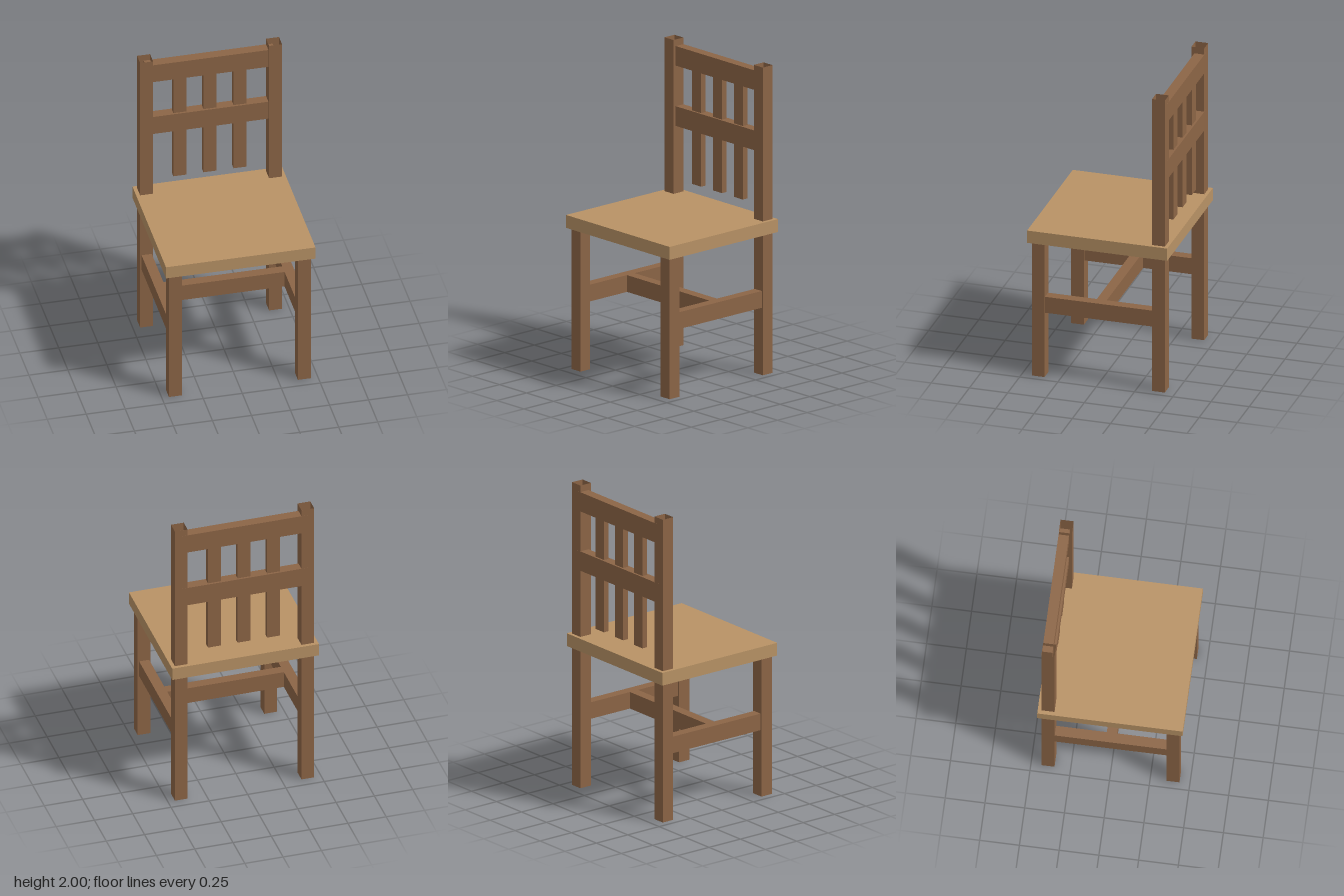
import * as THREE from 'three';

const darkWood = new THREE.MeshStandardMaterial({ color: 0x8c6546, side: THREE.DoubleSide });
darkWood.name = 'darkWood';
const lightWood = new THREE.MeshStandardMaterial({ color: 0xb89265 });
lightWood.name = 'lightWood';

const LEG = 0.083;   // square leg section
const RAIL = 0.065;  // rail thickness
const LEG_X = 0.413;
const LEG_Z = 0.393;
const BACK_Z = -0.403;

export function createModel() {
  const chair = new THREE.Group();
  chair.name = 'chair';

  // Box given by its x/z centre and its bottom and top heights
  function bar(name, w, d, x, z, y0, y1, material = darkWood, hollow = false) {
    const geometry = new THREE.BoxGeometry(w, y1 - y0, d);
    if (hollow) {
      // Leave out the top and bottom faces
      const index = Array.from(geometry.index.array);
      index.splice(12, 12);
      geometry.setIndex(index);
      geometry.clearGroups();
    }
    const mesh = new THREE.Mesh(geometry, material);
    mesh.name = name;
    mesh.position.set(x, (y0 + y1) / 2, z);
    chair.add(mesh);
  }

  // Seat board
  bar('seat', 0.958, 0.915, 0, 0, 0.916, 1, lightWood);

  // Legs, back posts and side stretchers, open-ended uprights
  for (const [side, s] of [['left', 1], ['right', -1]]) {
    bar(side + 'FrontLeg', LEG, LEG, s * LEG_X, LEG_Z, 0, 0.93, darkWood, true);
    bar(side + 'BackPost', LEG, LEG, s * LEG_X, -LEG_Z, 0, 2, darkWood, true);
    bar(side + 'Stretcher', RAIL, LEG_Z * 2, s * LEG_X, 0, 0.437, 0.546);
  }

  // Cross stretcher joining the two sides
  bar('crossStretcher', LEG_X * 2, RAIL, 0, 0, 0.437, 0.546);

  // Backrest rails, ending inside the posts
  bar('middleBackRail', LEG_X * 2, RAIL, 0, BACK_Z, 1.438, 1.566);
  bar('topBackRail', LEG_X * 2, RAIL, 0, BACK_Z, 1.83, 1.957);

  // Backrest slats
  for (const x of [-0.193, 0, 0.193]) {
    bar('backSlat', LEG, 0.038, x, BACK_Z, 1.088, 1.89, darkWood, true);
  }

  return chair;
}
